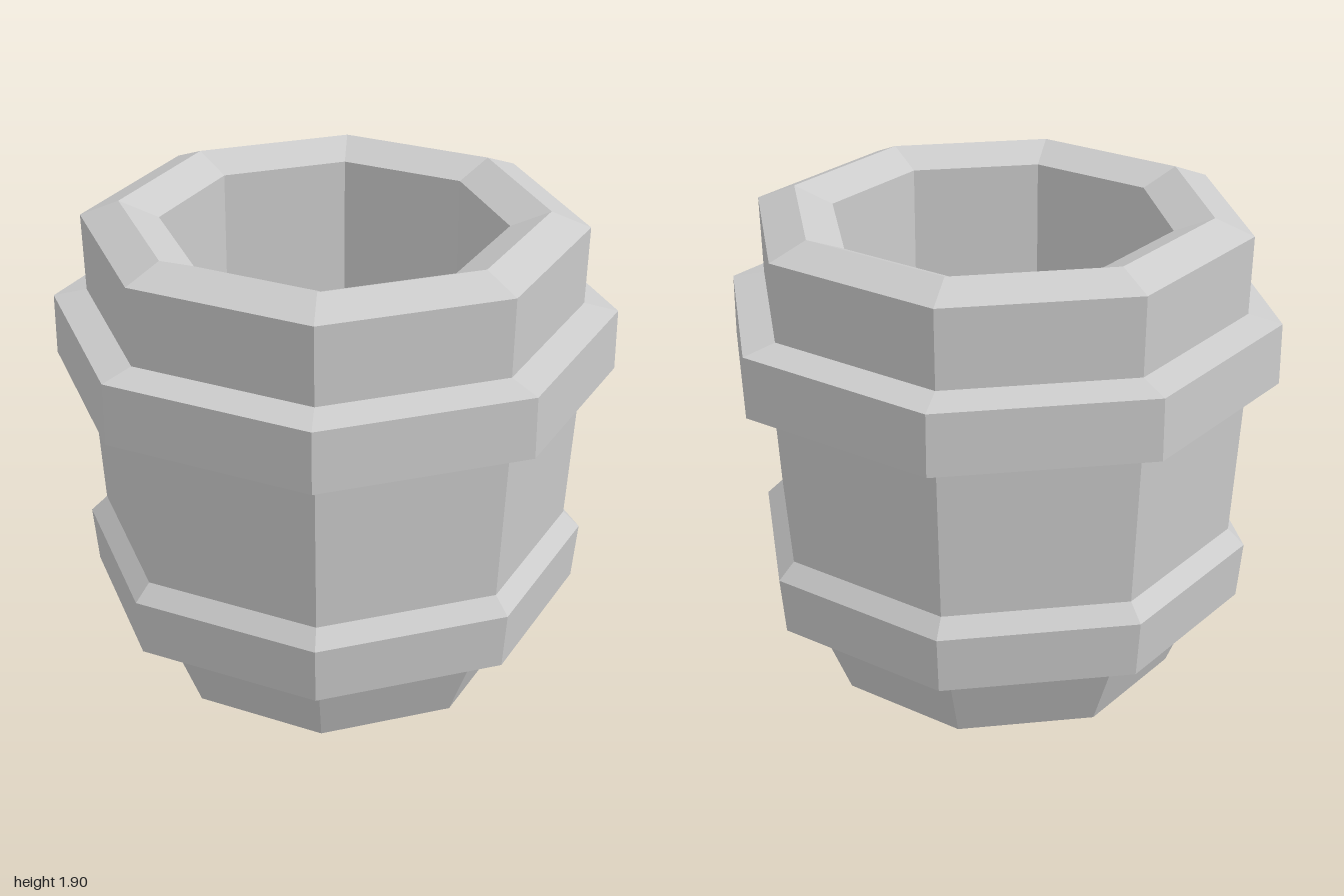
import * as THREE from 'three';

const SIDES = 8;
// Profiles give the distance to the flat sides; the corners lie further out.
const CORNER = 1 / Math.cos(Math.PI / SIDES);

// Each part is an octagonal ring: [distance to flat side, height], outside upward, inside downward.
const PARTS = {
  foot: [[0, 0], [0.64, 0], [0.76, 0.31]],
  lowerHoop: [[0.76, 0.31], [0.89, 0.34], [0.91, 0.565], [0.85, 0.63]],
  barrelWall: [[0.85, 0.63], [0.885, 1.22]],
  upperHoop: [[0.885, 1.22], [1, 1.27], [1, 1.51], [0.88, 1.54]],
  collar: [[0.88, 1.54], [0.888, 1.845]],
  rim: [[0.888, 1.845], [0.75, 1.905], [0.61, 1.843]],
  cavity: [[0.61, 1.843], [0.61, 0.25], [0, 0.25]],
};

export function createModel() {
  const group = new THREE.Group();
  group.name = 'barrel';
  const material = new THREE.MeshStandardMaterial({ color: 0xcccccc, flatShading: true });

  for (const [name, profile] of Object.entries(PARTS)) {
    const points = profile.map(([r, y]) => new THREE.Vector2(r * CORNER, y));
    const geometry = new THREE.LatheGeometry(points, SIDES, Math.PI / SIDES);
    const mesh = new THREE.Mesh(geometry, material);
    mesh.name = name;
    group.add(mesh);
  }
  return group;
}
